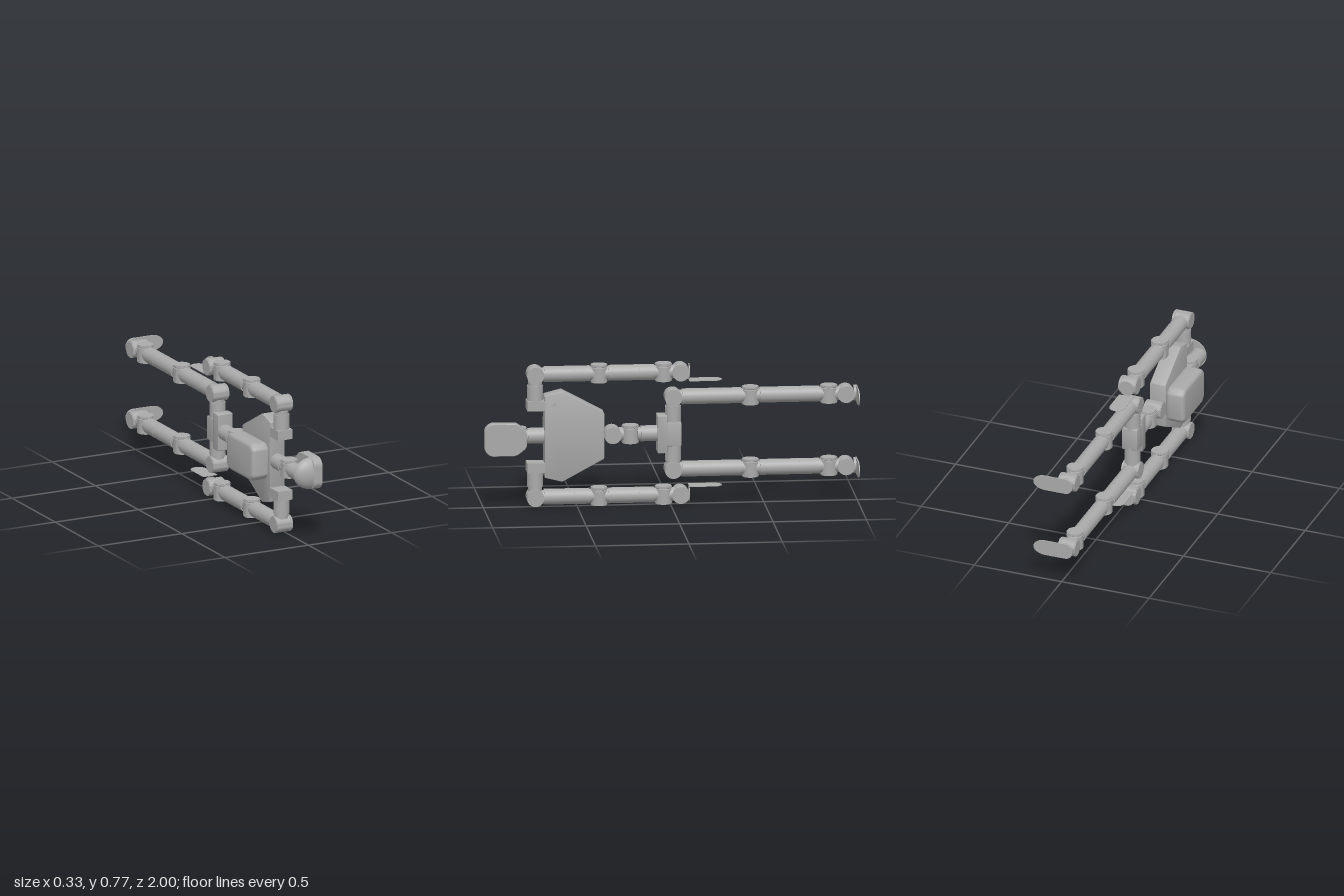
import * as THREE from 'three';
import { toCreasedNormals } from 'three/addons/utils/BufferGeometryUtils.js';

const X = -0.018; // centre line of all limbs in depth
const MID = 0.383; // centre line in height
const R = 0.0425; // tube radius

export function createModel() {
  const model = new THREE.Group();
  const grey = new THREE.MeshStandardMaterial({ color: 0xaaaaaa });
  grey.name = 'plain grey';

  const add = (name, geometry, parent = model) => {
    const mesh = new THREE.Mesh(geometry, grey);
    mesh.name = name;
    parent.add(mesh);
    return mesh;
  };
  const box = (name, x0, x1, y0, y1, z0, z1, parent) =>
    add(name, new THREE.BoxGeometry(x1 - x0, y1 - y0, z1 - z0), parent)
      .position.set((x0 + x1) / 2, (y0 + y1) / 2, (z0 + z1) / 2);

  // Turn a y-aligned mesh onto another axis
  const align = (mesh, axis) => {
    if (axis === 'x') mesh.rotation.z = -Math.PI / 2;
    if (axis === 'z') mesh.rotation.x = Math.PI / 2;
    return mesh;
  };

  // Tube along z
  const tubeZ = (name, y, z0, z1, parent, r = R) =>
    align(add(name, new THREE.CylinderGeometry(r, r, Math.abs(z1 - z0), 32), parent), 'z')
      .position.set(X, y, (z0 + z1) / 2);

  // Tube along y
  const tubeY = (name, z, y0, y1, parent, r = R) =>
    add(name, new THREE.CylinderGeometry(r, r, Math.abs(y1 - y0), 32), parent)
      .position.set(X, (y0 + y1) / 2, z);

  // Drum-shaped joint with stepped caps
  const drum = toCreasedNormals(new THREE.LatheGeometry([
    [0, -0.049], [0.043, -0.049], [0.043, -0.045], [0.046, -0.045],
    [0.046, 0.032], [0.043, 0.034], [0.043, 0.036], [0.046, 0.038],
    [0.046, 0.045], [0.043, 0.045], [0.043, 0.049], [0, 0.049],
  ].map(p => new THREE.Vector2(...p)), 32), 0.6);
  const joint = (name, y, z, axis, parent) =>
    align(add(name, drum, parent), axis).position.set(X, y, z);

  // Polygon with rounded corners
  const rounded = (pts, r) => {
    const shape = new THREE.Shape();
    const v = pts.map(p => new THREE.Vector2(...p));
    v.forEach((p, i) => {
      const a = v[(i + v.length - 1) % v.length], b = v[(i + 1) % v.length];
      const start = p.clone().add(a.clone().sub(p).setLength(r));
      const end = p.clone().add(b.clone().sub(p).setLength(r));
      if (i) shape.lineTo(start.x, start.y);
      else shape.moveTo(start.x, start.y);
      shape.quadraticCurveTo(p.x, p.y, end.x, end.y);
    });
    shape.closePath();
    return shape;
  };

  // Extrude an outline of [z, y] points from x0 to x1 with a bevelled rim
  const slab = (name, pts, r, x0, x1, bevel, segments = 3) => {
    const geo = new THREE.ExtrudeGeometry(rounded(pts.map(([z, y]) => [-z, y]), r), {
      depth: x1 - x0 - 2 * bevel, bevelEnabled: bevel > 0, bevelThickness: bevel,
      bevelSize: bevel, bevelOffset: -bevel, bevelSegments: segments, curveSegments: 6,
    });
    geo.rotateY(Math.PI / 2).translate(x0 + bevel, 0, 0);
    return add(name, toCreasedNormals(geo, 0.6));
  };

  // Head: face plate, and a shallow half dome closing its crown
  slab('facePlate', [
    [0.775, MID - 0.045], [0.83, MID - 0.088], [0.97, MID - 0.088], [1, MID - 0.06],
    [1, MID + 0.06], [0.97, MID + 0.088], [0.83, MID + 0.088], [0.775, MID + 0.045],
  ], 0.018, 0.035, 0.087, 0.003, 1);
  const dome = new THREE.SphereGeometry(1, 32, 12, Math.PI / 2, Math.PI, 0, Math.PI / 2);
  dome.rotateX(Math.PI / 2).rotateZ(0);
  // The half kept is the one facing -x
  dome.computeBoundingBox();
  if (dome.boundingBox.max.x > 0.5) dome.rotateZ(Math.PI);
  dome.scale(0.098, 0.087, 0.052);
  const crown = new THREE.Group();
  crown.name = 'crown';
  crown.position.set(0.036, MID, 0.948);
  model.add(crown);
  add('crownDome', dome, crown);
  const base = add('crownBase', new THREE.CircleGeometry(1, 32, Math.PI / 2, Math.PI), crown);
  base.scale.set(0.098, 0.087, 1);
  base.rotation.x = Math.PI;

  // Neck
  box('faceBracket', 0.015, 0.037, MID - 0.03, MID + 0.03, 0.88, 0.94);
  tubeZ('neckTop', MID, 0.862, 0.952);
  tubeZ('neckTopCollar', MID, 0.84, 0.866, model, 0.037);
  joint('neckJoint', MID, 0.812, 'y');
  tubeZ('neckCollar', MID, 0.755, 0.78, model, 0.037);
  tubeZ('neck', MID, 0.66, 0.762);

  // Chest, chest badge and backpack
  slab('chest', [
    [0.355, MID - 0.125], [0.58, MID - 0.246], [0.675, MID - 0.222],
    [0.675, MID + 0.222], [0.58, MID + 0.246], [0.355, MID + 0.125],
  ], 0.006, -0.062, 0.028, 0.005, 2);
  const badge = add('chestBadge', new THREE.BoxGeometry(0.014, 0.018, 0.018));
  badge.position.set(0.03, 0.56, 0.623);
  badge.rotation.x = Math.PI / 4.5;
  slab('backpack', [
    [0.36, MID - 0.075], [0.39, MID - 0.102], [0.64, MID - 0.102], [0.67, MID - 0.075],
    [0.67, MID + 0.075], [0.64, MID + 0.102], [0.39, MID + 0.102], [0.36, MID + 0.075],
  ], 0.012, -0.164, -0.06, 0.02);

  // Spine
  joint('spineSwivel', MID, 0.308, 'x');
  tubeZ('spineCollar', MID, 0.25, 0.275, model, 0.037);
  joint('waistJoint', MID, 0.212, 'y');
  tubeZ('waistCollar', MID, 0.15, 0.175, model, 0.037);
  tubeZ('waist', MID, 0.06, 0.157);

  // Pelvis
  slab('pelvisPlate', [
    [0.015, MID - 0.102], [0.07, MID - 0.102], [0.07, MID + 0.102], [0.015, MID + 0.102],
  ], 0.006, -0.062, 0.028, 0.004, 2);
  slab('pelvisBlock', [
    [-0.058, MID - 0.065], [0.025, MID - 0.065], [0.025, MID + 0.065], [-0.058, MID + 0.065],
  ], 0.006, -0.061, 0.027, 0.004, 2);

  // Flat paddle outlines for hand and foot
  const handShape = new THREE.Shape();
  handShape.moveTo(X + R, 0.1);
  handShape.lineTo(X + R, 0.235);
  handShape.absarc(X, 0.235, R, 0, Math.PI);
  handShape.lineTo(X - R, 0.1);
  handShape.closePath();
  const footShape = new THREE.Shape();
  footShape.moveTo(X, -0.043);
  footShape.lineTo(0.095, -0.043);
  footShape.absellipse(0.095, 0, 0.067, 0.043, -Math.PI / 2, Math.PI / 2);
  footShape.lineTo(X, 0.043);
  footShape.absarc(X, 0, 0.043, Math.PI / 2, Math.PI * 1.5);
  const plate = (shape, depth) =>
    new THREE.ExtrudeGeometry(shape, { depth, bevelEnabled: false, curveSegments: 20 });

  // A straight limb: upper tube, hinge, lower tube, hinge, end swivel
  const limb = (names, y, z, parent) => {
    const [upper, hinge, lower, end, swivel] = names;
    const [start, h1, h2, s] = z;
    tubeZ(upper + 'Collar', y, start + 0.02, start - 0.02, parent, 0.037);
    const segment = (name, a, b) => {
      const split = a + (b - a) * 0.66;
      tubeZ(name, y, a, split + 0.0008, parent);
      tubeZ(name + 'Seam', y, split + 0.002, split - 0.002, parent, 0.041);
      tubeZ(name + 'End', y, split - 0.0008, b, parent);
    };
    segment(upper, start, h1 + 0.05);
    tubeZ(hinge + 'Collar', y, h1 + 0.06, h1 - 0.06, parent, 0.037);
    joint(hinge, y, h1, 'y', parent);
    segment(lower, h1 - 0.05, h2 + 0.05);
    tubeZ(end + 'Collar', y, h2 + 0.06, s, parent, 0.037);
    joint(end, y, h2, 'y', parent);
    joint(swivel, y, s, 'x', parent);
  };

  for (const s of [1, -1]) {
    const side = s > 0 ? 'left' : 'right';
    const at = d => MID + s * d;

    // Arm
    const arm = new THREE.Group();
    arm.name = side + 'Arm';
    model.add(arm);
    const b = [at(0.142), at(0.195)].sort((p, q) => p - q);
    box('shoulderBracket', -0.061, 0.027, b[0], b[1], 0.6, 0.767, arm);
    tubeY('shoulderPost', 0.722, at(0.19), at(0.275), arm);
    tubeY('shoulderCollar', 0.722, at(0.27), at(0.3), arm, 0.037);
    const armY = at(0.334);
    joint('shoulder', armY, 0.722, 'x', arm);
    limb(['upperArm', 'elbow', 'forearm', 'wrist', 'wristSwivel'],
      armY, [0.675, 0.38, 0.035, -0.056], arm);
    tubeZ('palmDisc', armY, -0.1, -0.104, arm);
    const hand = plate(handShape, 0.003).rotateX(-Math.PI / 2);
    add('hand', hand, arm).position.y = at(0.288) - 0.0015;

    // Leg
    const leg = new THREE.Group();
    leg.name = side + 'Leg';
    model.add(leg);
    const legY = at(0.197);
    tubeY('hipPost', -0.016, at(0.05), at(0.148), leg);
    tubeY('hipCollar', -0.016, at(0.14), at(0.165), leg, 0.037);
    joint('hip', legY, -0.016, 'x', leg);
    limb(['thigh', 'knee', 'shin', 'ankle', 'ankleSwivel'],
      legY, [-0.063, -0.43, -0.85, -0.94], leg);
    tubeZ('heel', legY, -0.982, -0.998, leg);
    add('foot', plate(footShape, 0.006), leg).position.set(0, legY, -1);
  }
  return model;
}
